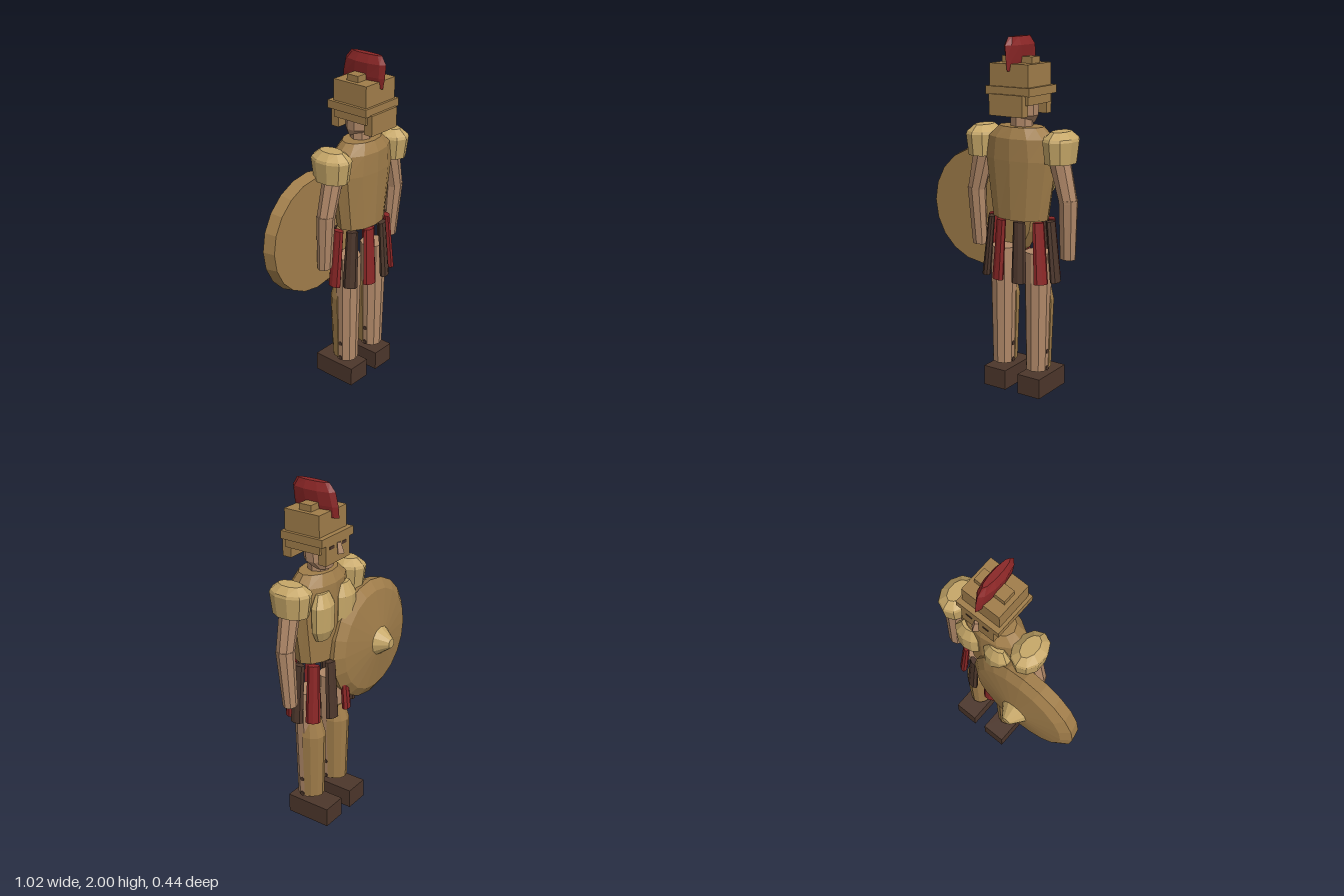
import * as THREE from 'three';

const mat = (color, side = THREE.FrontSide) => new THREE.MeshStandardMaterial({ color, flatShading: true, side });
const bronze = mat(0xa07d4a), brass = mat(0xc6a768), skin = mat(0xb08868);
const leather = mat(0x4c362b), red = mat(0x8a2626);

// Closed solid through elliptical rings [y, rx, rz, cx, cz], listed bottom to top
function loft(rings, sides = 10, maxZ = Infinity) {
  const pos = [], idx = [];
  for (const [y, rx, rz, cx = 0, cz = 0] of rings) {
    for (let j = 0; j < sides; j++) {
      const a = (j / sides) * Math.PI * 2;
      pos.push(cx + rx * Math.sin(a), y, Math.min(maxZ, cz + rz * Math.cos(a)));
    }
  }
  const n = rings.length, last = (n - 1) * sides;
  for (let i = 0; i < n - 1; i++) {
    for (let j = 0; j < sides; j++) {
      const a = i * sides + j, b = i * sides + ((j + 1) % sides);
      idx.push(a, b, b + sides, a, b + sides, a + sides);
    }
  }
  for (let j = 1; j < sides - 1; j++) {
    idx.push(0, j + 1, j, last, last + j, last + j + 1);
  }
  const g = new THREE.BufferGeometry();
  g.setAttribute('position', new THREE.Float32BufferAttribute(pos, 3));
  g.setIndex(idx);
  g.computeVertexNormals();
  return g;
}

export function createModel() {
  const model = new THREE.Group();
  model.name = 'soldier';
  const body = new THREE.Group();
  body.name = 'figure';
  body.position.x = 0.15;
  model.add(body);

  const add = (name, geometry, material) => {
    const m = new THREE.Mesh(geometry, material);
    m.name = name;
    body.add(m);
    return m;
  };
  // Box given by its limits on each axis
  const box = (name, x0, x1, y0, y1, z0, z1, material) => {
    const m = add(name, new THREE.BoxGeometry(x1 - x0, y1 - y0, z1 - z0), material);
    m.position.set((x0 + x1) / 2, (y0 + y1) / 2, (z0 + z1) / 2);
    return m;
  };

  // Limbs and paired armour; the figure faces -z
  for (const s of [-1, 1]) {
    const side = s < 0 ? 'left' : 'right';
    const lx = s * 0.115;
    box(side + 'Shoe', lx - 0.073, lx + 0.073, 0, 0.115, -0.12, 0.155, leather);
    add(side + 'Leg', loft([
      [0.14, 0.066, 0.066, lx, 0.058],
      [0.67, 0.077, 0.074, lx, 0.06],
      [0.83, 0.077, 0.075, lx, 0.06],
    ]), skin);
    add(side + 'Greave', loft([
      [0.15, 0.066, 0.08, lx, 0.045],
      [0.55, 0.077, 0.095, lx, 0.045],
      [0.65, 0.06, 0.065, lx, 0.045],
    ], 12, 0.05), bronze);
    // Greave straps
    for (const y of [0.155, 0.255]) {
      const strap = add(side + 'GreaveStrap', new THREE.CylinderGeometry(0.014, 0.014, 0.137, 8), leather);
      strap.rotation.z = Math.PI / 2;
      strap.position.set(lx, y, 0.062);
    }
    add(side + 'UpperArm', loft([
      [1.13, 0.053, 0.05, s * 0.303, 0.06],
      [1.42, 0.068, 0.055, s * 0.232, 0.066],
    ], 8), skin);
    add(side + 'Forearm', loft([
      [0.81, 0.046, 0.038, s * 0.294, 0.042],
      [1.145, 0.055, 0.051, s * 0.303, 0.06],
    ], 8), skin);
    add(side + 'Pauldron', loft([
      [1.34, 0.08, 0.108, s * 0.25, 0.055],
      [1.46, 0.093, 0.125, s * 0.25, 0.055],
      [1.475, 0.088, 0.118, s * 0.25, 0.055],
      [1.51, 0.044, 0.075, s * 0.25, 0.055],
    ]), brass);
    add(side + 'ChestPlate', loft([
      [1.16, 0.055, 0.03, s * 0.095, -0.035],
      [1.22, 0.082, 0.05, s * 0.098, -0.04],
      [1.36, 0.085, 0.053, s * 0.1, -0.042],
      [1.43, 0.05, 0.025, s * 0.095, -0.035],
    ]), brass);
  }

  // Cuirass
  add('torso', loft([
    [1.01, 0.172, 0.105, 0, 0.06],
    [1.34, 0.222, 0.118, 0, 0.06],
    [1.46, 0.2, 0.118, 0, 0.06],
    [1.52, 0.135, 0.09, 0, 0.06],
  ], 12), bronze);

  // Skirt of alternating strips around the waist, flaring outward
  for (let i = 0; i < 10; i++) {
    const a = ((i * 36 + 18) * Math.PI) / 180;
    const g = loft([[0.67, 0.042, 0.024], [1.01, 0.034, 0.019]], 8);
    g.rotateY(a);
    const p = g.attributes.position;
    for (let v = 0; v < p.count; v++) {
      const low = p.getY(v) < 0.8;
      p.setX(v, p.getX(v) + Math.sin(a) * (low ? 0.225 : 0.19));
      p.setZ(v, p.getZ(v) + 0.055 + Math.cos(a) * (low ? 0.138 : 0.118));
    }
    g.computeVertexNormals();
    add('skirtStrip', g, i % 2 ? red : leather);
  }

  // Neck and head
  add('neck', loft([[1.5, 0.065, 0.06, 0, 0.055], [1.6, 0.065, 0.06, 0, 0.055]], 8), skin);
  add('head', loft([
    [1.535, 0.055, 0.05, 0, 0.025],
    [1.58, 0.092, 0.08, 0, 0.05],
    [1.68, 0.095, 0.085, 0, 0.055],
  ]), skin);
  const nose = add('nose', new THREE.CylinderGeometry(0.014, 0.024, 0.06, 4), skin);
  nose.position.set(0, 1.662, -0.082);
  nose.rotation.x = 0.2;

  // Helmet
  box('helmetBowl', -0.122, 0.122, 1.646, 1.86, -0.04, 0.185, bronze);
  box('helmetRim', -0.14, 0.14, 1.695, 1.74, -0.07, 0.2, bronze);
  box('helmetTop', -0.097, 0.097, 1.86, 1.895, 0.03, 0.107, bronze);
  box('neckGuard', -0.107, 0.107, 1.585, 1.7, 0.16, 0.215, bronze);
  box('faceGuard', -0.107, 0.107, 1.585, 1.7, -0.07, -0.02, bronze);
  for (const s of [-1, 1]) {
    box('eyeSlot', s * 0.055 - 0.02, s * 0.055 + 0.02, 1.668, 1.684, -0.072, -0.05, leather);
  }
  add('crest', loft([
    [1.82, 0.02, 0.14, 0, 0.06],
    [1.88, 0.033, 0.143, 0, 0.068],
    [1.955, 0.041, 0.138, 0, 0.08],
    [2.0, 0.02, 0.105, 0, 0.085],
  ]), red);

  // Round shield carried in front of the arm on -x
  const shieldPart = (name, rings, sides, material) => {
    const m = add(name, loft(rings, sides), material);
    m.rotation.x = -Math.PI / 2;
    m.position.set(-0.31, 1.015, 0);
  };
  shieldPart('shield', [
    [0, 0.34, 0.34], [0.07, 0.355, 0.355], [0.11, 0.3, 0.3], [0.145, 0.085, 0.085],
  ], 20, bronze);
  shieldPart('shieldBoss', [[0.143, 0.086, 0.086], [0.22, 0.028, 0.028]], 12, brass);

  return model;
}
